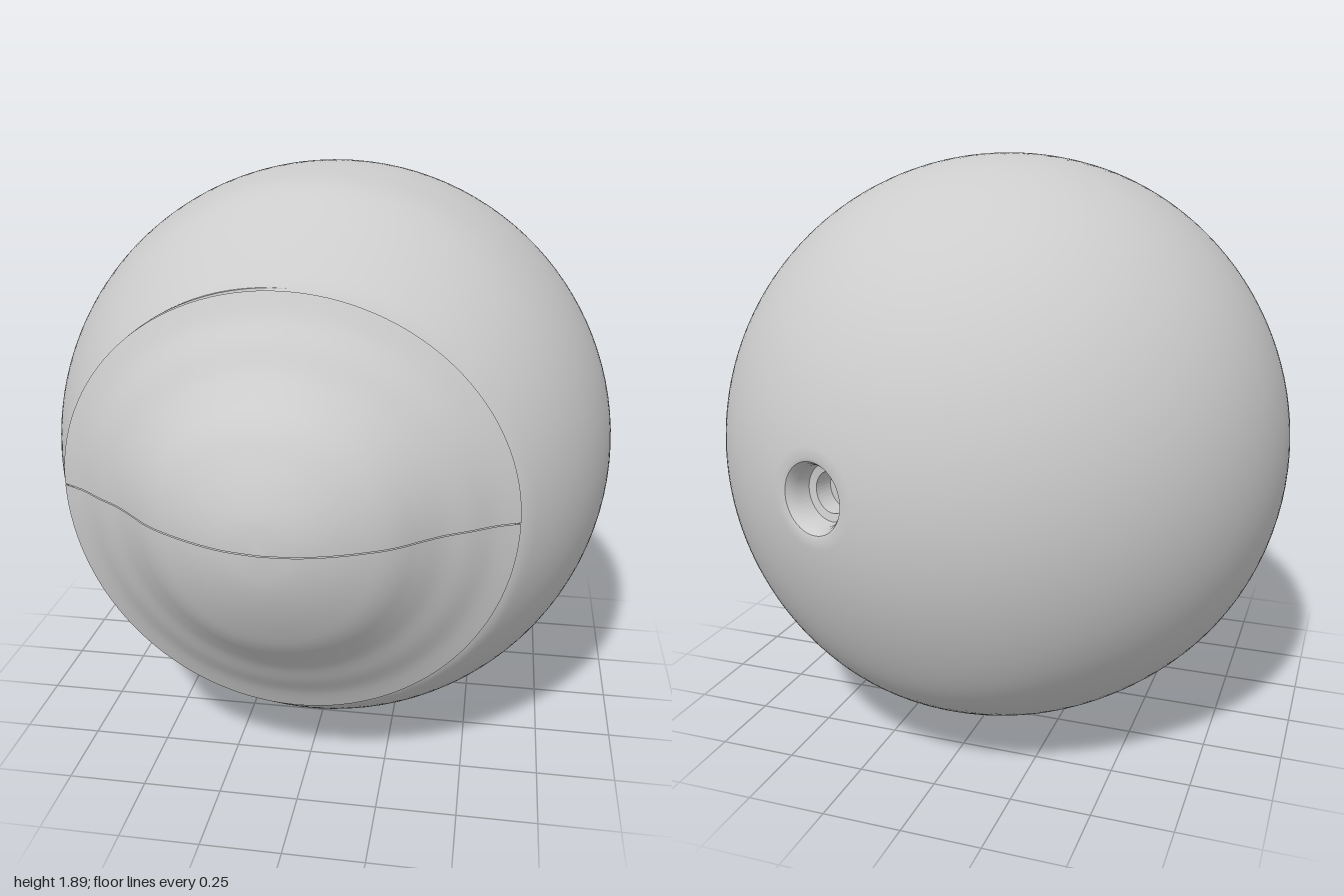
import * as THREE from 'three';
import { mergeVertices, toCreasedNormals } from 'three/addons/utils/BufferGeometryUtils.js';

const R = 0.945;                       // ball radius
const CENTRE = new THREE.Vector3(0, 0.95, -0.05);
const bump = (v, at, width) => Math.exp(-(((v - at) / width) ** 2));

// slightly tilted plane on which the lids' rim lies
const rimPlane = (x, y) => 0.637 + 0.025 * x + 0.03 * (y - 0.945);

function lathe(points, segments, start = 0, length = Math.PI * 2) {
  return new THREE.LatheGeometry(points.map(([r, h]) => new THREE.Vector2(r, h)), segments, start, length);
}

// move every vertex by a rule, then rebuild smooth normals with sharp edges
function reshape(geometry, rule, crease = 0.6) {
  const pos = geometry.attributes.position;
  const v = new THREE.Vector3();
  for (let i = 0; i < pos.count; i++) {
    v.fromBufferAttribute(pos, i);
    rule(v);
    pos.setXYZ(i, v.x, v.y, v.z);
  }
  geometry.deleteAttribute('normal');
  geometry.deleteAttribute('uv');
  return toCreasedNormals(mergeVertices(geometry, 1e-5), crease);
}

// ball with a stepped round socket at one pole, turned towards the back
function bodyGeometry() {
  const profile = [];
  const end = Math.PI - Math.asin(0.118 / R);
  for (let i = 0; i <= 90; i++) {
    const a = (end * i) / 90;
    profile.push([R * Math.sin(a), -R * Math.cos(a)]);
  }
  profile.push([0.107, 0.934], [0.098, 0.922], [0.09, 0.9], [0.086, 0.86],
    [0.062, 0.855], [0.06, 0.8], [0, 0.8]);
  const g = lathe(profile, 112);
  const socketDir = new THREE.Vector3(0.27, 0.02, -0.905).normalize();
  g.applyQuaternion(new THREE.Quaternion().setFromUnitVectors(new THREE.Vector3(0, 1, 0), socketDir));
  return reshape(g, (v) => {
    // uneven swelling of the ball
    const up = v.y / R;
    const z = v.z + CENTRE.z;
    if (up > 0) v.y *= 1 + 0.045 * up * up * bump(z, 0.36, 0.18);
    else v.y *= 1 + up * up * (0.12 * bump(z, -0.85, 0.15) - 0.025 * bump(z, -0.3, 0.2));
    v.add(CENTRE);
    // sink the front beneath the lids
    const sink = THREE.MathUtils.smoothstep(v.z - rimPlane(v.x, v.y), -0.03, 0.04);
    v.sub(CENTRE).multiplyScalar(1 - 0.035 * sink).add(CENTRE);
  });
}

// place a front-facing lathe (axis along z) on the tilted, slightly oval rim
function onRim(geometry, gap = 0) {
  geometry.rotateX(Math.PI / 2);
  return reshape(geometry, (v) => {
    v.y = v.y * (v.y > 0 ? 0.927 : 1.025) + 0.975 - 0.015 * v.x + gap;
    v.x -= 0.045;
    v.z += rimPlane(v.x, v.y);
  });
}

// half of the domed cover: inner skin, rim, outer skin
function lidGeometry(upper) {
  const outer = new THREE.SplineCurve([
    [0.69, 0.0], [0.62, 0.035], [0.55, 0.085], [0.48, 0.13], [0.42, 0.18], [0.36, 0.233],
    [0.3, 0.272], [0.2, 0.32], [0.1, 0.352], [0, 0.363],
  ].map(([r, z]) => new THREE.Vector2(r, z))).getPoints(48).map((p) => [Math.max(p.x, 0), p.y]);
  const inner = outer.map(([r, z]) => [r * 0.975, z - 0.013]).reverse();
  outer[outer.length - 1][0] = inner[0][0] = 0;
  const start = upper ? Math.PI / 2 : -Math.PI / 2;
  return onRim(lathe([...inner, ...outer], 64, start, Math.PI), upper ? 0.0015 : -0.0015);
}

export function createModel() {
  const grey = new THREE.MeshStandardMaterial({ color: 0xcccccc, side: THREE.DoubleSide });
  grey.name = 'plain grey';
  const model = new THREE.Group();
  model.name = 'eyeball';
  const add = (name, geometry) => {
    const mesh = new THREE.Mesh(geometry, grey);
    mesh.name = name;
    model.add(mesh);
  };

  add('ball', bodyGeometry());
  // thin lip around the opening, just behind the lids
  add('openingLip', onRim(lathe([[0.66, -0.03], [0.66, -0.08], [0.692, -0.05], [0.692, -0.036], [0.66, -0.03]], 112)));
  add('upperLid', lidGeometry(true));
  add('lowerLid', lidGeometry(false));
  return model;
}
